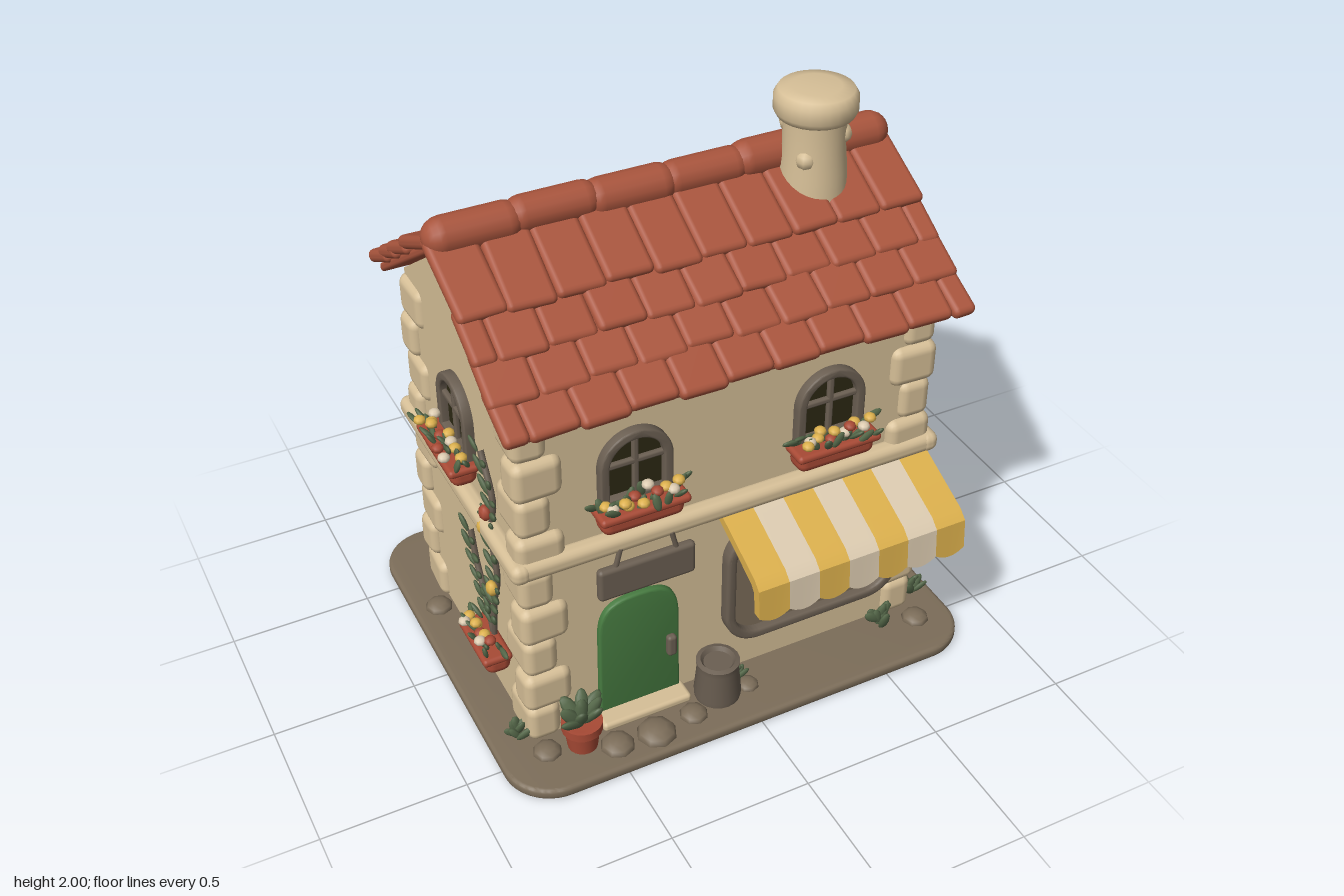
import * as THREE from 'three';
import { toCreasedNormals } from 'three/addons/utils/BufferGeometryUtils.js';
import { RoundedBoxGeometry } from 'three/addons/geometries/RoundedBoxGeometry.js';

const mat = (name, color) => Object.assign(new THREE.MeshStandardMaterial({ color }), { name });
const plaster = mat('plaster', 0xd6bf97), roofClay = mat('roofClay', 0xa9553d), earth = mat('earth', 0x7c6d59);
const wood = mat('wood', 0x6b5f52), doorGreen = mat('doorGreen', 0x467a40), leafGreen = mat('leafGreen', 0x56694a);
const yellow = mat('yellow', 0xdcb04c), cream = mat('cream', 0xdccbb0), glass = mat('glass', 0x2c2813);
const potClay = mat('potClay', 0xa84a35);

let seed = 7;
const rand = (a = 0, b = 1) => {
  seed = (seed * 16807) % 2147483647;
  return a + (b - a) * seed / 2147483647;
};
const ball = new THREE.SphereGeometry(1, 8, 6);

function add(parent, name, geo, material, x = 0, y = 0, z = 0) {
  const m = new THREE.Mesh(geo, material);
  m.name = name;
  m.position.set(x, y, z);
  parent.add(m);
  return m;
}
const block = (p, name, m, w, h, d, x, y, z, r = 0.02) =>
  add(p, name, new RoundedBoxGeometry(w, h, d, 2, r), m, x, y, z);
function blob(p, name, m, x, y, z, sx, sy = sx, sz = sx) {
  const b = add(p, name, ball, m, x, y, z);
  b.scale.set(sx, sy, sz);
  return b;
}
function leaf(p, x, y, z, size, tilt, lean = 0) {
  const l = blob(p, 'leaf', leafGreen, x, y, z, size * 0.45, size, size * 0.25);
  l.rotation.set(lean, 0, tilt);
}
const extrude = (shape, depth, opts = {}) =>
  toCreasedNormals(new THREE.ExtrudeGeometry(shape, { depth, bevelEnabled: false, curveSegments: 12, ...opts }), 0.7);

function roundRect(w, h, r, Type = THREE.Shape) {
  const s = new Type(), x = w / 2 - r, y = h / 2 - r;
  s.absarc(x, y, r, 0, Math.PI / 2).absarc(-x, y, r, Math.PI / 2, Math.PI);
  s.absarc(-x, -y, r, Math.PI, Math.PI * 1.5).absarc(x, -y, r, Math.PI * 1.5, Math.PI * 2);
  s.closePath();
  return s;
}
function arch(half, bottom, spring, Type = THREE.Shape) {
  const s = new Type();
  s.moveTo(-half, bottom).lineTo(half, bottom).lineTo(half, spring);
  s.absarc(0, spring, half, 0, Math.PI);
  s.closePath();
  return s;
}

// Trough with leaves and blossoms; local z = 0 is the wall face
function flowerBox(p, x, y, width) {
  const g = new THREE.Group();
  g.name = 'flowerBox';
  g.position.set(x, y, 0);
  p.add(g);
  block(g, 'trough', potClay, width * 0.92, 0.075, 0.09, 0, 0.04, 0.045, 0.03);
  block(g, 'troughRim', potClay, width, 0.03, 0.105, 0, 0.072, 0.052, 0.014);
  const n = Math.round(width / 0.02);
  for (let i = 0; i < n; i++) {
    const u = (i + 0.5) / n - 0.5;
    leaf(g, u * width * 1.08, rand(0.09, 0.12), rand(0.03, 0.11), 0.034, -u * 2 + rand(-0.6, 0.6), rand(-0.2, 0.9));
    if (i % 3 < 2) {
      blob(g, 'blossom', [yellow, cream, potClay, yellow][i % 4], u * width * 0.85,
        rand(0.105, 0.14), rand(0.04, 0.1), 0.021, 0.016, 0.021);
    }
  }
}

// Arched window with cross bars and a flower box
function archWindow(p, x) {
  const g = new THREE.Group();
  g.name = 'window';
  g.position.x = x;
  p.add(g);
  const frame = arch(0.125, 0.95, 1.095);
  frame.holes.push(arch(0.094, 0.98, 1.095, THREE.Path));
  add(g, 'windowFrame', extrude(frame, 0.028, { bevelEnabled: true, bevelSize: 0.006, bevelThickness: 0.006, bevelOffset: -0.006 }), wood);
  add(g, 'windowPane', extrude(arch(0.1, 0.97, 1.095), 0.006), glass);
  block(g, 'windowBar', wood, 0.022, 0.22, 0.02, 0, 1.08, 0.014, 0.008);
  block(g, 'windowBar', wood, 0.2, 0.022, 0.02, 0, 1.1, 0.014, 0.008);
  flowerBox(g, 0, 0.88, 0.31);
}

// Climbing plant growing from a small trough; m mirrors it
function climber(p, m) {
  const g = new THREE.Group();
  g.name = 'climbingPlant';
  p.add(g);
  flowerBox(g, -0.18 * m, 0.215, 0.24);
  const stems = [
    [[-0.18, 0.3], [-0.2, 0.45], [-0.25, 0.6], [-0.22, 0.78], [-0.26, 0.93], [-0.18, 1.08]],
    [[-0.17, 0.3], [-0.12, 0.42], [-0.06, 0.52], [-0.02, 0.64]]];
  stems.forEach((pts, k) => {
    const curve = new THREE.CatmullRomCurve3(pts.map(([x, y]) => new THREE.Vector3(x * m, y, 0.018)));
    add(g, 'stem', new THREE.TubeGeometry(curve, 24, 0.011, 6), wood);
    const n = k ? 12 : 26;
    for (let i = 2; i <= n; i++) {
      const c = curve.getPoint(i / n), side = i % 2 ? 1 : -1;
      leaf(g, c.x + side * 0.03, c.y + 0.01, 0.03, rand(0.03, 0.042), -side * rand(0.5, 1.1), 0.25);
    }
  });
  [[-0.21, 0.8, yellow], [-0.25, 0.57, yellow], [-0.24, 0.88, potClay]].forEach(([x, y, c]) =>
    blob(g, 'blossom', c, x * m, y, 0.04, 0.027, 0.027, 0.02));
}

function tuft(p, x, z, size) {
  for (let i = 0; i < 7; i++) {
    const t = (i - 3) * 0.3;
    leaf(p, x - Math.sin(t) * size * 0.7, 0.04 + size * 0.75, z + rand(-0.03, 0.03), size * rand(0.7, 1.1), t, rand(-0.4, 0.4));
  }
}

export function createModel() {
  const root = new THREE.Group();
  root.name = 'cottageShop';
  const CX = -0.01, CZ = -0.02, HX = 0.725, HZ = 0.467;

  // Ground plate
  const ground = extrude(roundRect(1.74, 1.43, 0.17), 0.016, { bevelEnabled: true, bevelSize: 0.014, bevelThickness: 0.012, bevelOffset: -0.014 });
  ground.rotateX(-Math.PI / 2);
  add(root, 'groundPlate', ground, earth, CX, 0.012, -0.015);

  // Gabled wall body
  const gable = new THREE.Shape([[-HZ, 0.03], [HZ, 0.03], [HZ, 1.37], [0, 1.7], [-HZ, 1.37]].map(a => new THREE.Vector2(...a)));
  add(root, 'walls', extrude(gable, HX * 2).rotateY(Math.PI / 2), plaster, CX - HX, 0, CZ);

  // Floor band, plinth and corner stones
  for (const s of [-1, 1]) {
    block(root, 'floorBand', plaster, 1.56, 0.072, 0.07, CX, 0.8, CZ + s * (HZ + 0.015), 0.03);
    block(root, 'floorBand', plaster, 0.07, 0.072, 1.04, CX + s * (HX + 0.02), 0.8, CZ, 0.03);
    for (const t of [-1, 1]) {
      for (let i = 0; i < 9; i++) {
        const long = i % 2, w = long ? 0.17 : 0.12, d = long ? 0.12 : 0.18, out = long ? 0.03 : 0.022;
        block(root, 'cornerStone', plaster, w, 0.15, d, CX + s * (HX + out - w / 2),
          0.11 + i * 0.146, CZ + t * (HZ + out - d / 2), 0.035).rotation.y = rand(-0.06, 0.06);
      }
    }
  }

  // Roof: under-slab and four overlapping tile courses per side
  const ends = [0.3, 0.44, 0.57, 0.7];
  for (const s of [0, 1]) {
    const slope = new THREE.Group();
    slope.name = s ? 'backRoof' : 'frontRoof';
    slope.position.set(-0.005, 1.735, -0.03);
    slope.rotation.set(0.6, s * Math.PI, 0, 'YXZ');
    root.add(slope);
    block(slope, 'roofSlab', roofClay, 1.57, 0.03, 0.68, 0, -0.022, 0.34, 0.012);
    ends.forEach((end, row) => {
      const count = row % 2 ? 11 : 10, len = row ? 0.2 : 0.3;
      for (let i = 0; i < count; i++) {
        let x0 = -0.805 + 0.161 * (i - (row % 2) / 2), x1 = x0 + 0.161;
        x0 = Math.max(x0, -0.805);
        x1 = Math.min(x1, 0.805);
        const tile = block(slope, 'roofTile', roofClay, x1 - x0 + 0.003, 0.045, len,
          (x0 + x1) / 2, 0.012 + rand(-0.004, 0.004), end - len / 2 + rand(-0.008, 0.008), 0.02);
        tile.rotation.set(-0.11, rand(-0.03, 0.03), rand(-0.03, 0.03));
      }
    });
  }
  for (let i = 0; i < 6; i++) {
    add(root, 'ridgeTile', new THREE.CapsuleGeometry(0.06 + rand(0, 0.005), 0.2, 5, 14).rotateZ(Math.PI / 2),
      roofClay, -0.65 + i * 0.258, 1.745 + rand(-0.005, 0.005), -0.025);
  }

  // Chimney
  const profile = [[0.115, 1.58], [0.11, 1.72], [0.102, 1.8], [0.103, 1.9], [0.125, 1.905], [0.136, 1.925],
    [0.136, 1.97], [0.122, 1.993], [0.08, 2], [0, 2]].map(a => new THREE.Vector2(...a));
  add(root, 'chimney', toCreasedNormals(new THREE.LatheGeometry(profile, 28), 0.9), plaster, 0.48, 0, 0.06);
  for (const [a, y] of [[0.6, 1.84], [2.4, 1.78], [4, 1.86], [5.2, 1.75]]) {
    blob(root, 'chimneyStone', plaster, 0.48 + Math.cos(a) * 0.085, y, 0.06 + Math.sin(a) * 0.085, 0.035);
  }

  // Windows on all four walls, climbers on both ends
  const wallFrame = (name, x, z, ry) => {
    const g = new THREE.Group();
    g.name = name;
    g.position.set(x, 0, z);
    g.rotation.y = ry;
    root.add(g);
    return g;
  };
  const front = wallFrame('frontWall', 0, CZ + HZ, 0), back = wallFrame('backWall', 0, CZ - HZ, Math.PI);
  for (const x of [-0.355, 0.34]) {
    archWindow(front, x);
    archWindow(back, -x);
  }
  for (const s of [-1, 1]) {
    const end = wallFrame(s > 0 ? 'leftWall' : 'rightWall', CX + s * HX, 0, s * Math.PI / 2);
    archWindow(end, s * 0.04);
    climber(end, s);
  }

  // Door, step and handle
  const door = new THREE.Shape();
  door.moveTo(-0.148, 0.07).lineTo(0.148, 0.07).lineTo(0.145, 0.42);
  door.bezierCurveTo(0.14, 0.52, 0.1, 0.548, 0, 0.548).bezierCurveTo(-0.1, 0.548, -0.14, 0.52, -0.145, 0.42);
  add(front, 'door', extrude(door, 0.015, { bevelEnabled: true, bevelSize: 0.008, bevelThickness: 0.008, bevelOffset: -0.008 }), doorGreen, -0.35);
  block(front, 'doorStep', plaster, 0.33, 0.035, 0.09, -0.35, 0.052, 0.04, 0.014);
  block(front, 'doorHandle', wood, 0.035, 0.085, 0.03, -0.24, 0.285, 0.035, 0.012);

  // Hanging sign board
  block(front, 'signBoard', wood, 0.345, 0.125, 0.035, -0.335, 0.663, 0.045, 0.015);
  for (const s of [-1, 1]) {
    const hook = add(front, 'signHook', new THREE.CylinderGeometry(0.009, 0.009, 0.08, 8), wood, -0.335 + s * 0.1, 0.75, 0.045);
    hook.rotation.z = s * 0.25;
  }

  // Shop window
  const rim = roundRect(0.69, 0.5, 0.13);
  rim.holes.push(roundRect(0.62, 0.43, 0.1, THREE.Path));
  add(front, 'shopFrame', extrude(rim, 0.035, { bevelEnabled: true, bevelSize: 0.01, bevelThickness: 0.01, bevelOffset: -0.01 }), wood, 0.312, 0.43, 0);
  add(front, 'shopPane', extrude(roundRect(0.64, 0.45, 0.11), 0.009), earth, 0.312, 0.43, 0.004);

  // Striped awning with scalloped drop
  const awning = new THREE.Shape([[-0.43, 0.745], [-0.43, 0.78], [-0.69, 0.665], [-0.722, 0.635], [-0.732, 0.505],
    [-0.7, 0.505], [-0.69, 0.61], [-0.67, 0.632]].map(a => new THREE.Vector2(...a)));
  for (let i = 0; i < 7; i++) {
    const w = 0.1125;
    const geo = new THREE.ExtrudeGeometry(awning, { depth: w, steps: 6, bevelEnabled: false }).rotateY(Math.PI / 2);
    const pos = geo.attributes.position;
    for (let k = 0; k < pos.count; k++) {
      const u = 2 * pos.getX(k) / w - 1;
      if (pos.getY(k) < 0.55) pos.setY(k, pos.getY(k) + 0.022 * u * u);
    }
    add(root, 'awningStripe', toCreasedNormals(geo, 0.6), i % 2 ? cream : yellow, -0.05 + i * w, 0, 0);
  }

  // Barrel, potted plant, stones and grass
  const lathe = pts => toCreasedNormals(new THREE.LatheGeometry(pts.map(a => new THREE.Vector2(...a)), 20), 0.7);
  add(root, 'barrel', lathe([[0.078, 0.03], [0.082, 0.06], [0.072, 0.17], [0.076, 0.195], [0.06, 0.2], [0.05, 0.185], [0, 0.185]]), wood, -0.09, 0, 0.535);
  add(root, 'flowerPot', lathe([[0.05, 0.03], [0.06, 0.115], [0.07, 0.118], [0.07, 0.15], [0.055, 0.15], [0, 0.14]]), potClay, -0.6, 0, 0.54);
  for (let i = 0; i < 9; i++) {
    const t = (i - 4) * 0.22;
    leaf(root, -0.6 - Math.sin(t) * 0.06, 0.15 + Math.cos(t) * 0.04, 0.54 + (i % 3 - 1) * 0.03, 0.055, t, (i % 3 - 1) * 0.5);
  }
  for (const [x, z, r] of [[-0.72, 0.52, 0.05], [-0.5, 0.6, 0.06], [-0.36, 0.61, 0.07], [-0.21, 0.59, 0.05], [0.02, 0.55, 0.04],
    [0.78, -0.3, 0.065], [0.77, -0.38, 0.045], [0.77, -0.19, 0.045], [0.72, 0.53, 0.05], [-0.79, -0.3, 0.05]]) {
    blob(root, 'groundStone', earth, x, 0.04, z, r, r * 0.55, r);
  }
  tuft(root, 0.59, 0.5, 0.045);
  tuft(root, 0.78, 0.4, 0.045);
  tuft(root, 0.78, -0.27, 0.07);
  tuft(root, 0.77, -0.15, 0.03);
  tuft(root, 0.0, 0.5, 0.03);
  tuft(root, -0.78, 0.42, 0.04);
  return root;
}
